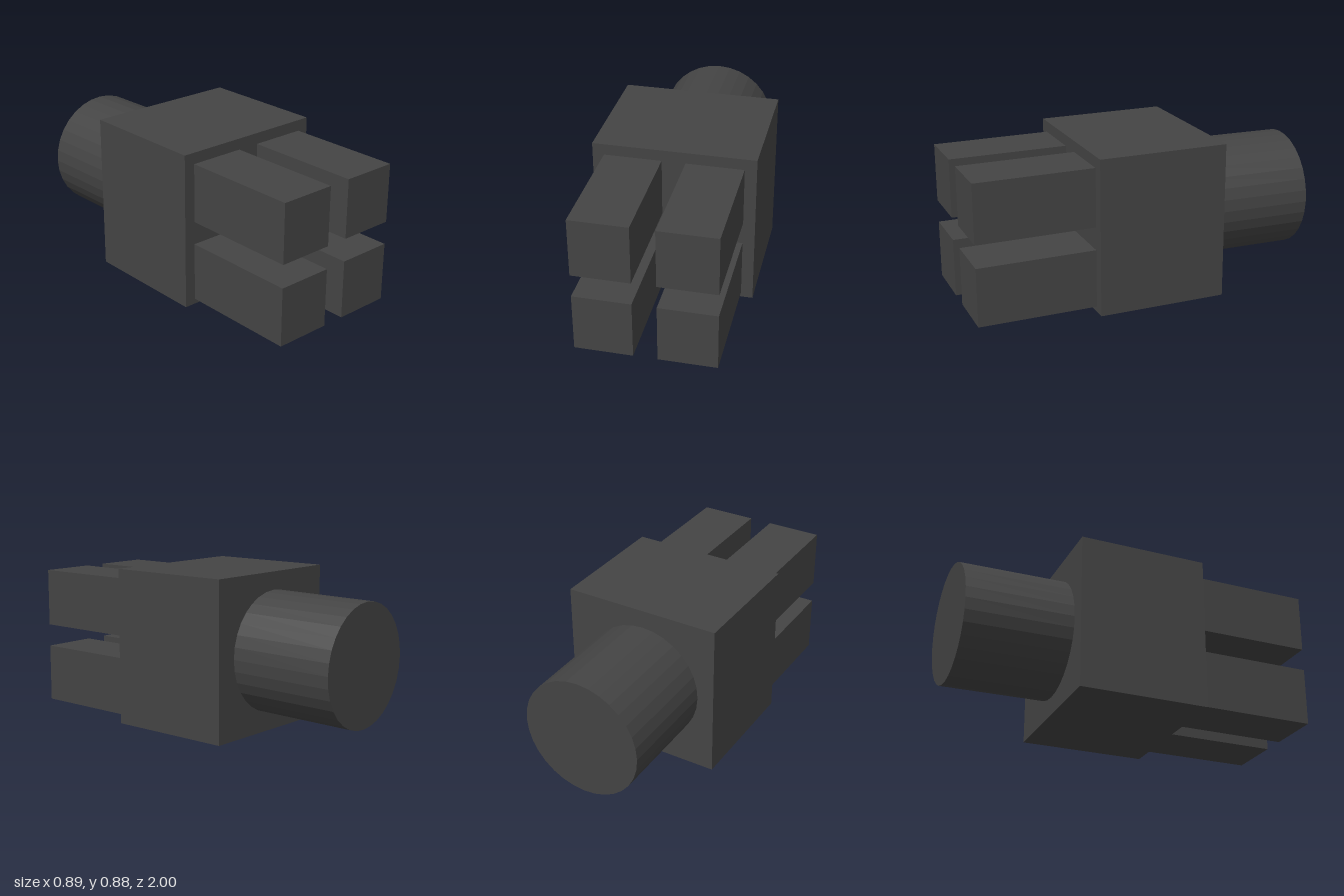
import * as THREE from 'three';

export function createModel() {
  const group = new THREE.Group();
  const material = new THREE.MeshStandardMaterial({ color: 0x444444, flatShading: true });

  function add(name, geometry, x, y, z) {
    const mesh = new THREE.Mesh(geometry, material);
    mesh.name = name;
    mesh.position.set(x, y, z);
    group.add(mesh);
    return mesh;
  }

  // Central housing block
  add('housing', new THREE.BoxGeometry(0.895, 0.883, 0.732), 0, 0.4415, -0.031);

  // Four square prongs at the front
  const prong = new THREE.BoxGeometry(0.318, 0.33, 0.665);
  for (const [side, x] of [['left', 0.223], ['right', -0.225]]) {
    for (const [level, y] of [['Upper', 0.655], ['Lower', 0.195]]) {
      add(`${side}${level}Prong`, prong, x, y, 0.6675);
    }
  }

  // Round stem at the back, drooping very slightly
  const stem = add('stem', new THREE.CylinderGeometry(0.339, 0.339, 0.604, 32), -0.013, 0.44, -0.696);
  stem.rotation.x = -Math.PI / 2 - 0.0133;

  return group;
}
